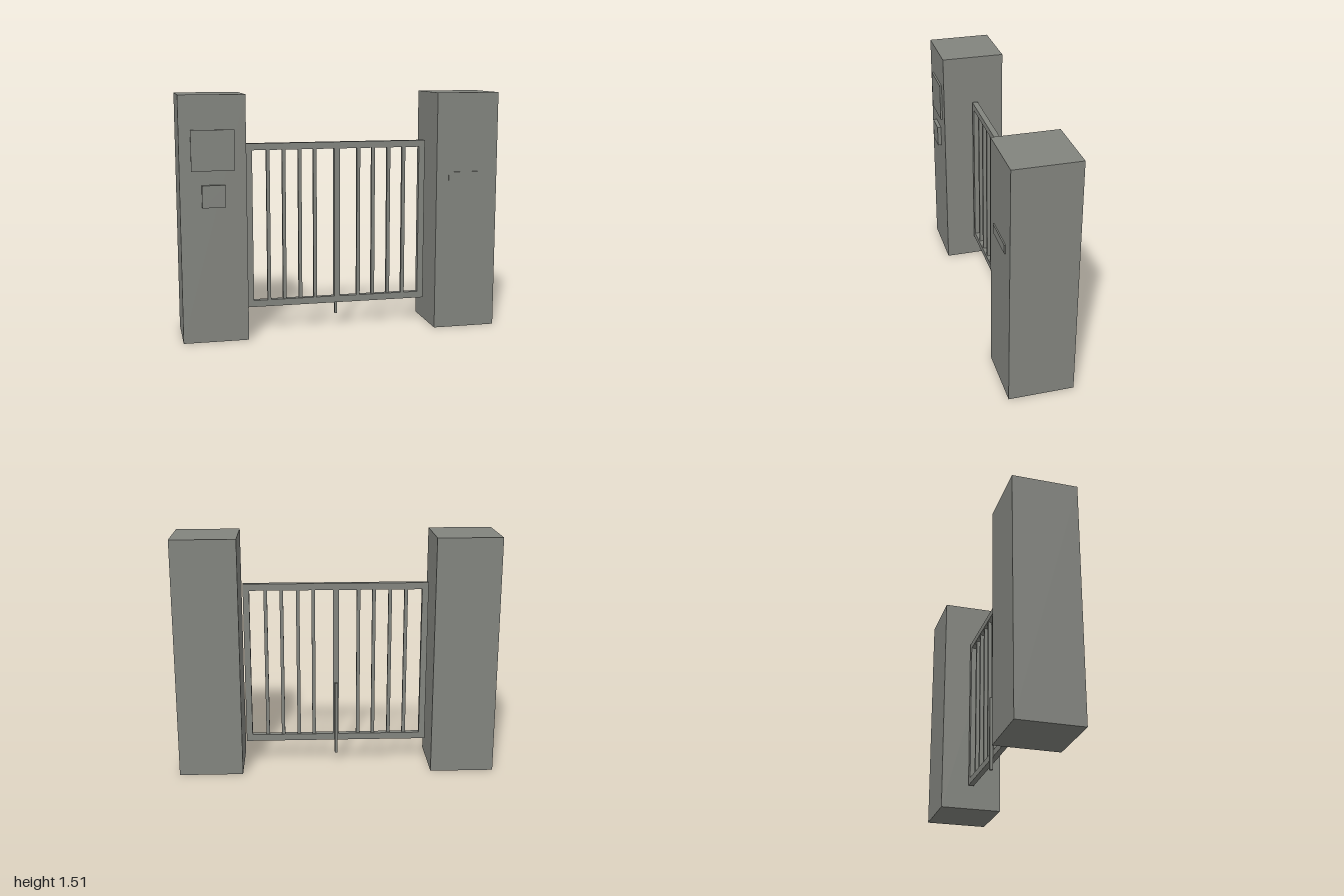
import * as THREE from 'three';

export function createModel() {
  const gate = new THREE.Group();
  gate.name = 'gateWithPillars';
  const grey = new THREE.MeshStandardMaterial({ color: 0x82847e });
  grey.name = 'warm grey';

  // Box given by its lower and upper corner on each axis
  const box = (name, x0, x1, y0, y1, z0, z1, parent = gate) => {
    const mesh = new THREE.Mesh(new THREE.BoxGeometry(x1 - x0, y1 - y0, z1 - z0), grey);
    mesh.position.set((x0 + x1) / 2, (y0 + y1) / 2, (z0 + z1) / 2);
    mesh.name = name;
    parent.add(mesh);
  };

  // Pillars
  const front = 0.188;
  box('rightPillar', -1, -0.6, 0, 1.507, -0.212, front);
  box('leftPillar', 0.6, 1, 0, 1.507, -0.212, front);

  // Fittings on the pillar fronts
  box('signPlate', -0.93, -0.67, 1.055, 1.3, front, 0.2);
  box('intercomBox', -0.87, -0.73, 0.835, 0.97, front, 0.212);
  box('letterSlot', 0.68, 0.915, 0.955, 1.01, front, 0.196);

  // Gate frame: one outline with a rectangular opening
  const panel = new THREE.Group();
  panel.name = 'gatePanel';
  gate.add(panel);
  const rect = (Type, x, y0, y1) => new Type([
    new THREE.Vector2(-x, y0), new THREE.Vector2(x, y0),
    new THREE.Vector2(x, y1), new THREE.Vector2(-x, y1),
  ]);
  const outline = rect(THREE.Shape, 0.58, 0.155, 1.197);
  outline.holes.push(rect(THREE.Path, 0.541, 0.197, 1.155));
  const frame = new THREE.Mesh(
    new THREE.ExtrudeGeometry(outline, { depth: 0.036, bevelEnabled: false }), grey);
  frame.position.z = -0.036;
  frame.name = 'gateFrame';
  panel.add(frame);

  // Centre post and mirrored bars
  box('centrePost', -0.018, 0.018, 0.197, 1.155, -0.036, 0, panel);
  for (const x of [0.142, 0.239, 0.341, 0.441]) {
    for (const side of [-1, 1]) {
      box('bar', side * x - 0.011, side * x + 0.011, 0.197, 1.155, -0.029, -0.007, panel);
    }
  }

  // Drop bolt behind the centre post
  box('dropBolt', -0.008, 0.008, 0.072, 0.548, -0.056, -0.036, panel);

  return gate;
}
